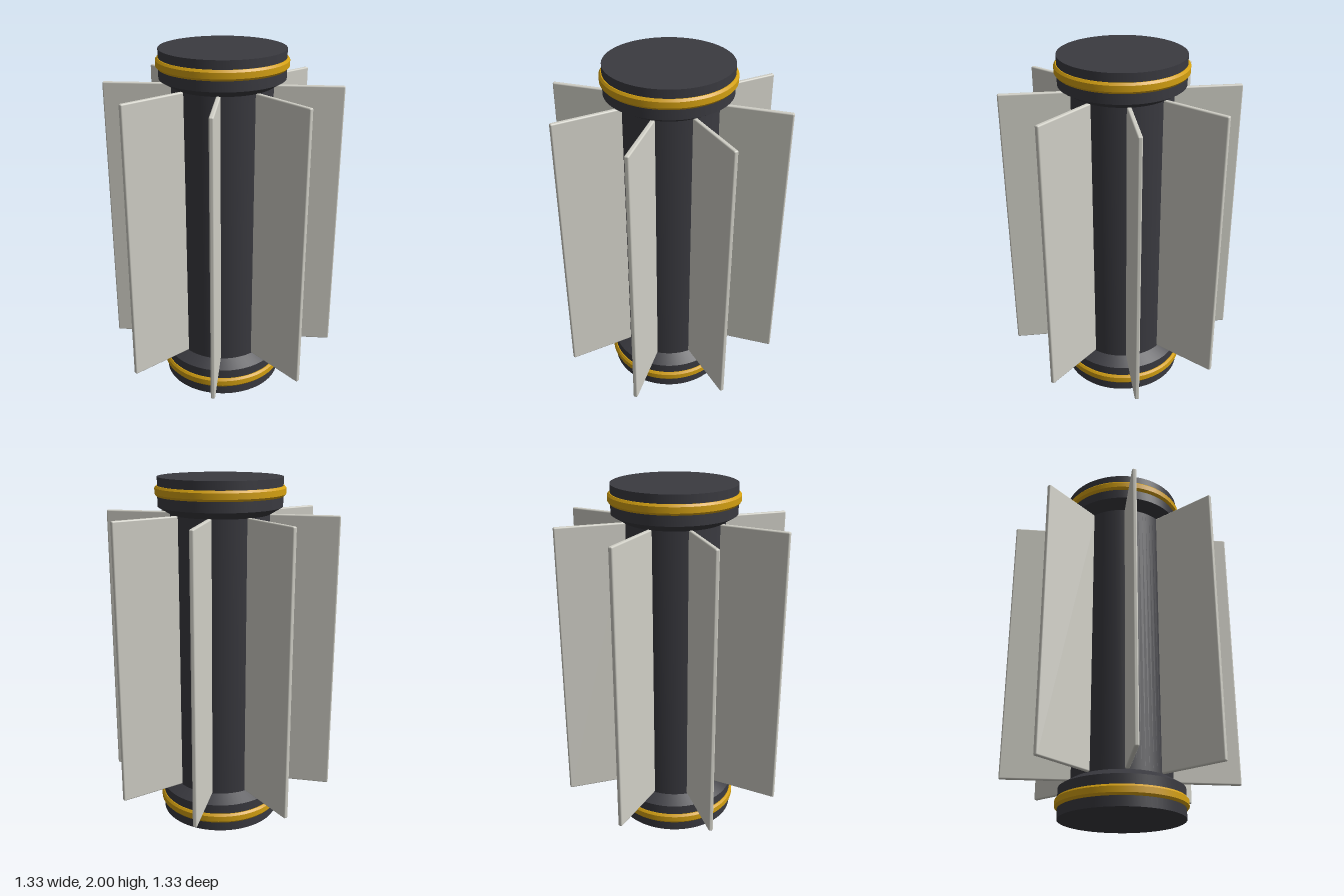
import * as THREE from 'three';
import { toCreasedNormals } from 'three/addons/utils/BufferGeometryUtils.js';
import { RoundedBoxGeometry } from 'three/addons/geometries/RoundedBoxGeometry.js';

const mat = (name, color) => {
  const m = new THREE.MeshStandardMaterial({ color });
  m.name = name;
  return m;
};

// Turned part with crisp edges; the profile runs bottom to top as [radius, y]
function turned(name, profile, material) {
  const points = profile.map(([r, y]) => new THREE.Vector2(r, y));
  const geometry = toCreasedNormals(new THREE.LatheGeometry(points, 72), 0.4);
  const mesh = new THREE.Mesh(geometry, material);
  mesh.name = name;
  return mesh;
}

export function createModel() {
  const dark = mat('charcoal', 0x3a3a40);
  const gold = mat('gold', 0xd4a011);
  const pale = mat('pale grey', 0xd0cfc6);
  const model = new THREE.Group();
  model.name = 'finnedCylinder';

  // Core with a chamfered collar at each end
  model.add(turned('core', [
    [0, 0], [0.347, 0], [0.347, 0.165], [0.28, 0.205],
    [0.28, 1.8], [0.347, 1.84], [0.347, 2], [0, 2],
  ], dark));

  // Bevelled ring around each collar
  for (const [name, y] of [['lowerRing', 0.083], ['upperRing', 1.925]]) {
    model.add(turned(name, [
      [0.34, y - 0.028], [0.352, y - 0.028], [0.362, y - 0.016],
      [0.362, y + 0.016], [0.352, y + 0.028], [0.34, y + 0.028],
    ], gold));
  }

  // Eight radial fins with softened edges
  const inner = 0.26, outer = 0.664, bottom = 0.206, top = 1.803;
  const finGeometry = new RoundedBoxGeometry(outer - inner, top - bottom, 0.025, 2, 0.008);
  finGeometry.translate((inner + outer) / 2, (top + bottom) / 2, 0);
  const fins = new THREE.Group();
  fins.name = 'fins';
  for (let i = 0; i < 8; i++) {
    const fin = new THREE.Mesh(finGeometry, pale);
    fin.name = 'fin' + (i + 1);
    fin.rotation.y = (i * Math.PI) / 4;
    fins.add(fin);
  }
  model.add(fins);
  return model;
}
